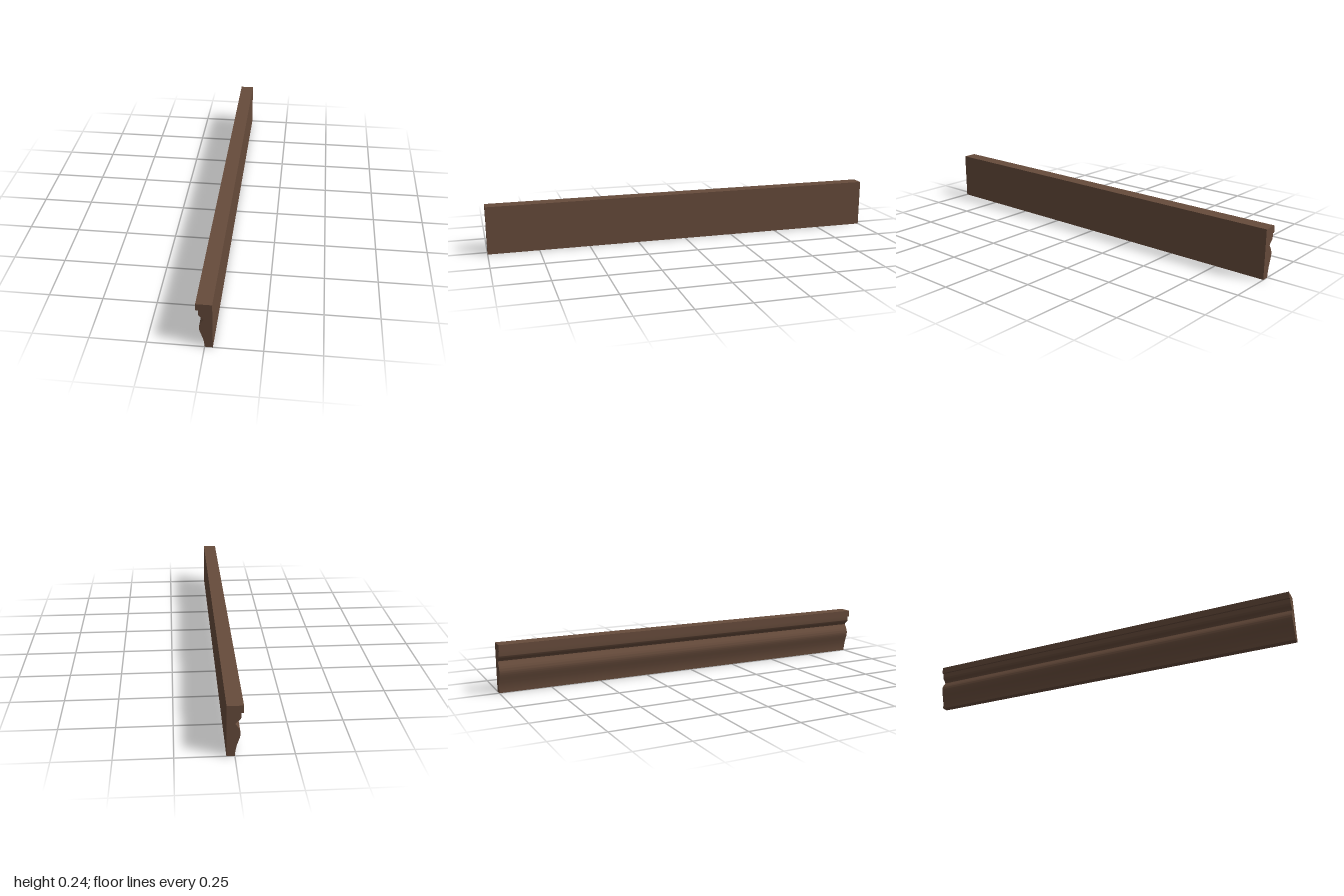
import * as THREE from 'three';
import { toCreasedNormals } from 'three/addons/utils/BufferGeometryUtils.js';

export function createModel() {
  const group = new THREE.Group();
  group.name = 'moulding';
  const wood = new THREE.MeshStandardMaterial({ color: 0x664b3b });
  wood.name = 'dark brown wood';

  // Cross-section: flat back on +x, stepped cap and carved face on -x
  const profile = new THREE.Shape();
  profile.moveTo(0, 0);
  profile.lineTo(0.035, 0);
  profile.lineTo(0.035, 0.236);
  profile.lineTo(-0.035, 0.236);
  profile.lineTo(-0.035, 0.203);
  profile.lineTo(-0.0245, 0.203);
  profile.lineTo(-0.0245, 0.184);
  // Upper ogee running into the groove
  profile.bezierCurveTo(-0.0245, 0.167, -0.006, 0.166, -0.0015, 0.153);
  // Rounded belly
  profile.bezierCurveTo(-0.003, 0.145, -0.0225, 0.131, -0.0225, 0.106);
  // Long sweep down to the foot
  profile.bezierCurveTo(-0.0225, 0.082, -0.001, 0.053, 0, 0);

  const geometry = new THREE.ExtrudeGeometry(profile, {
    depth: 2, bevelEnabled: false, curveSegments: 16,
  });
  geometry.translate(0, 0, -1);

  const rail = new THREE.Mesh(toCreasedNormals(geometry, Math.PI / 5), wood);
  rail.name = 'mouldedRail';
  group.add(rail);
  return group;
}
